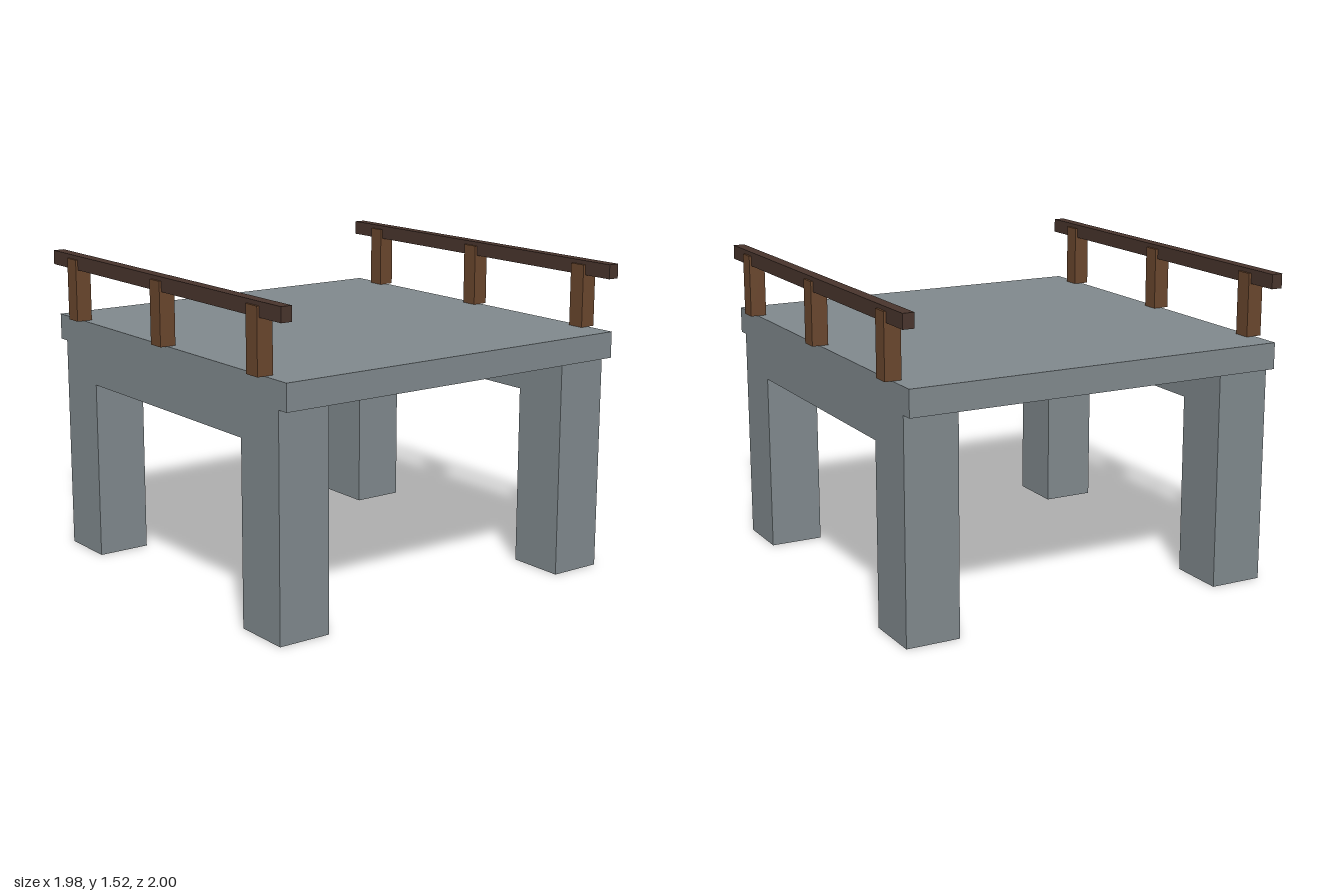
import * as THREE from 'three';

const stone = new THREE.MeshStandardMaterial({ color: 0x7f888c });
stone.name = 'grey stone';
const wood = new THREE.MeshStandardMaterial({ color: 0x69462d });
wood.name = 'brown wood';
const darkWood = new THREE.MeshStandardMaterial({ color: 0x48342c });
darkWood.name = 'dark wood';

// Box resting on height y
function box(name, material, w, h, d, x, y, z) {
  const mesh = new THREE.Mesh(new THREE.BoxGeometry(w, h, d), material);
  mesh.name = name;
  mesh.position.set(x, y + h / 2, z);
  return mesh;
}

// Two legs joined by a beam, drawn in the z-y plane and extruded along x
function sideFrame(name, x) {
  const width = 0.265;
  const shape = new THREE.Shape([
    [-0.94, 0], [-0.65, 0], [-0.65, 0.885], [0.65, 0.885],
    [0.65, 0], [0.94, 0], [0.94, 1.065], [-0.94, 1.065],
  ].map(([z, y]) => new THREE.Vector2(z, y)));
  const geometry = new THREE.ExtrudeGeometry(shape, { depth: width, bevelEnabled: false });
  geometry.translate(0, 0, -width / 2).rotateY(Math.PI / 2);
  const mesh = new THREE.Mesh(geometry, stone);
  mesh.name = name;
  mesh.position.x = x;
  return mesh;
}

export function createModel() {
  const model = new THREE.Group();
  model.name = 'bridge';

  // Deck slab
  model.add(box('deck', stone, 1.91, 0.128, 2, 0, 1.065, 0));

  for (const [side, s] of [['left', 1], ['right', -1]]) {
    // Supporting legs and beam
    model.add(sideFrame(side + 'Supports', s * 0.8225));

    // Railing: three posts carrying a rail
    const railing = new THREE.Group();
    railing.name = side + 'Railing';
    for (const z of [-0.795, 0, 0.795]) {
      railing.add(box('post', wood, 0.08, 0.307, 0.086, s * 0.952, 1.193, z));
    }
    railing.add(box('rail', darkWood, 0.056, 0.07, 2, s * 0.953, 1.45, 0));
    model.add(railing);
  }
  return model;
}
